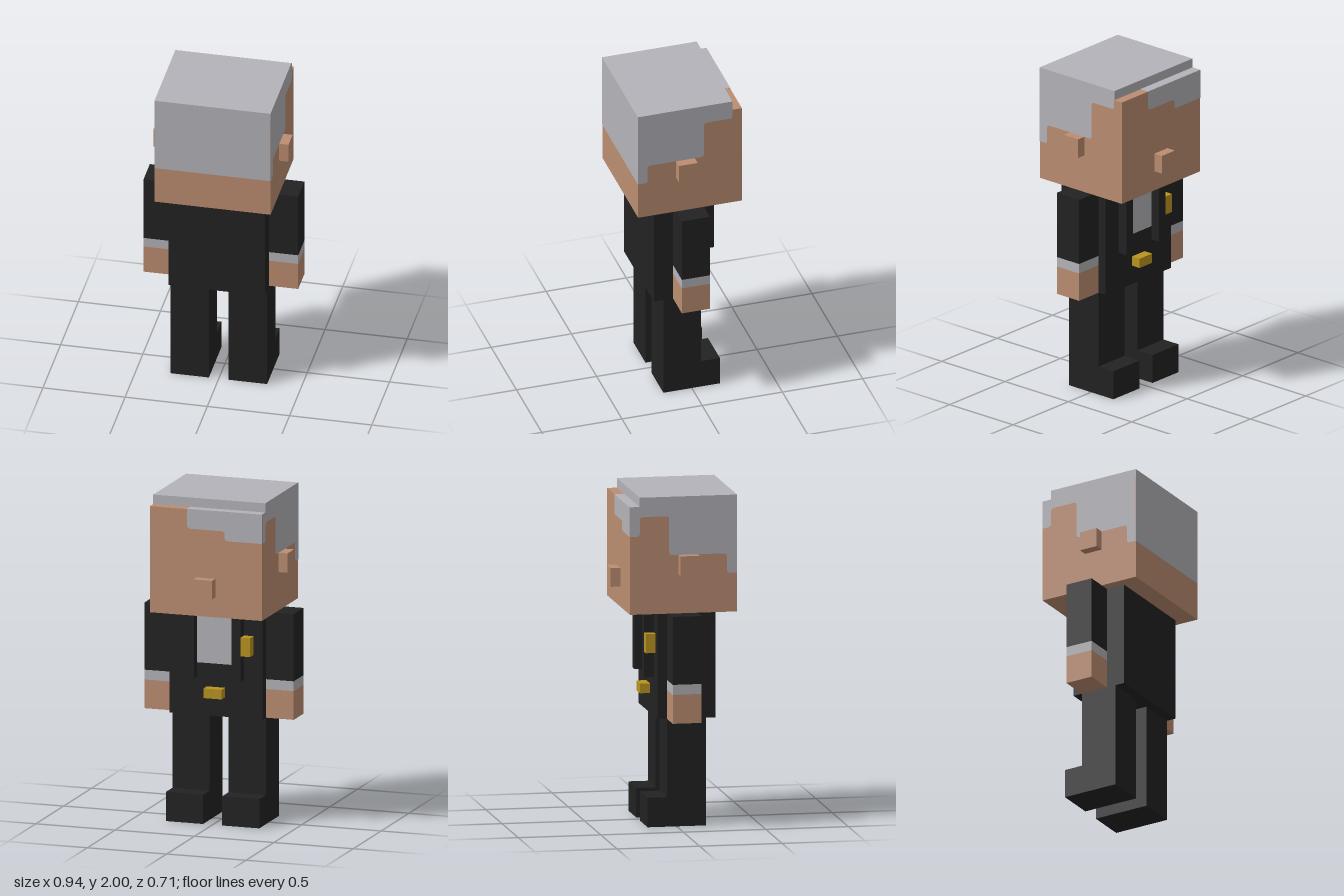
import * as THREE from 'three';

const mat = (name, color) => {
  const m = new THREE.MeshStandardMaterial({ color });
  m.name = name;
  return m;
};

// Polygon with slightly rounded corners at the listed point indices
function softShape(points, softened, r = 0.02) {
  const shape = new THREE.Shape();
  const n = points.length;
  points.forEach(([x, y], i) => {
    const p = new THREE.Vector2(x, y);
    const toward = (q) => p.clone().add(new THREE.Vector2(...q).sub(p).setLength(r));
    const soft = softened.includes(i);
    const a = soft ? toward(points[(i + n - 1) % n]) : p;
    if (i === 0) shape.moveTo(a.x, a.y);
    else shape.lineTo(a.x, a.y);
    if (soft) {
      const b = toward(points[(i + 1) % n]);
      shape.quadraticCurveTo(p.x, p.y, b.x, b.y);
    }
  });
  return shape;
}

export function createModel() {
  const skin = mat('skin', 0xbc8d71);
  const grey = mat('grey', 0xb4b3b9);
  const black = mat('black', 0x222222);
  const gold = mat('gold', 0xba9420);
  const model = new THREE.Group();
  model.name = 'blockFigure';

  // Box given by its extents on each axis
  const box = (name, material, [x0, x1], [y0, y1], [z0, z1], parent = model) => {
    const mesh = new THREE.Mesh(new THREE.BoxGeometry(x1 - x0, y1 - y0, z1 - z0), material);
    mesh.position.set((x0 + x1) / 2, (y0 + y1) / 2, (z0 + z1) / 2);
    mesh.name = name;
    parent.add(mesh);
    return mesh;
  };

  // Flat painted patch, turned about y and set just off a face
  const patch = (name, shape, turn, x, z, parent) => {
    const mesh = new THREE.Mesh(new THREE.ShapeGeometry(shape, 4), grey);
    mesh.rotation.y = turn;
    mesh.position.set(x, 0, z);
    mesh.name = name;
    parent.add(mesh);
  };

  // Head
  const head = new THREE.Group();
  head.name = 'head';
  model.add(head);
  const W = 0.353, back = 0.353, face = -0.294, e = 0.002;
  box('skull', skin, [-W, W], [1.295, 1.942], [face, back], head);
  box('nose', skin, [-0.059, 0.059], [1.417, 1.53], [-0.353, face], head);

  // Hair: top cap, fringe step, back and painted side patches
  box('hairCap', grey, [-W, W], [1.942, 2], [-0.235, back], head);
  box('fringeTop', grey, [-W, 0.118], [1.94, 1.944], [face - e, -0.235], head);
  box('hairBack', grey, [-W, W], [1.53, 2], [back - 0.002, back + e], head);
  patch('hairFringe', softShape([
    [W, 1.944], [-0.118, 1.944], [-0.118, 1.824], [0.118, 1.824], [0.118, 1.765], [W, 1.765],
  ], [2, 3, 4]), Math.PI, 0, face - e, head);

  // Side outlines as (z, y)
  const lower = [[back, 2], [back, 1.53], [0.294, 1.53], [0.294, 1.648], [-0.057, 1.648], [-0.057, 1.883]];
  const leftHair = [...lower, [-0.235, 1.883], [-0.235, 2]];
  const rightHair = [...lower, [-0.235, 1.883], [-0.235, 1.765], [face, 1.765],
    [face, 1.942], [-0.235, 1.942], [-0.235, 2]];
  patch('hairLeft', softShape(leftHair.map(([z, y]) => [-z, y]), [2, 3, 4, 5, 6]),
    Math.PI / 2, W + e, 0, head);
  patch('hairRight', softShape(rightHair, [2, 3, 4, 5, 6, 7]), -Math.PI / 2, -W - e, 0, head);

  // Torso with shirt front, buckle and badge
  box('torso', black, [-0.294, 0.294], [0.65, 1.295], [-0.115, 0.236]);
  box('shirtFront', grey, [-0.118, 0.118], [0.97, 1.295], [-0.118, -0.113]);
  box('buckle', gold, [-0.057, 0.057], [0.768, 0.827], [-0.175, -0.115]);
  box('badge', gold, [-0.236, -0.177], [1.04, 1.155], [-0.175, -0.115]);

  // Paired parts
  for (const [side, s] of [['left', 1], ['right', -1]]) {
    const span = (a, b) => (s > 0 ? [a, b] : [-b, -a]);
    box(side + 'Ear', skin, span(W, 0.411), [1.53, 1.648], [0, 0.116], head);
    box(side + 'Lapel', black, span(0.118, 0.177), [0.885, 1.295], [-0.175, -0.115]);
    const arm = new THREE.Group();
    arm.name = side + 'Arm';
    model.add(arm);
    const ax = span(0.294, 0.47), az = [-0.058, 0.117];
    box(side + 'Sleeve', black, ax, [0.885, 1.295], az, arm);
    box(side + 'Cuff', grey, ax, [0.825, 0.885], az, arm);
    box(side + 'Hand', skin, ax, [0.65, 0.825], az, arm);
    const lx = span(0.06, 0.294);
    box(side + 'Leg', black, lx, [0, 0.65], [-0.058, 0.177]);
    box(side + 'Shoe', black, lx, [0, 0.178], [-0.175, -0.058]);
  }
  return model;
}
